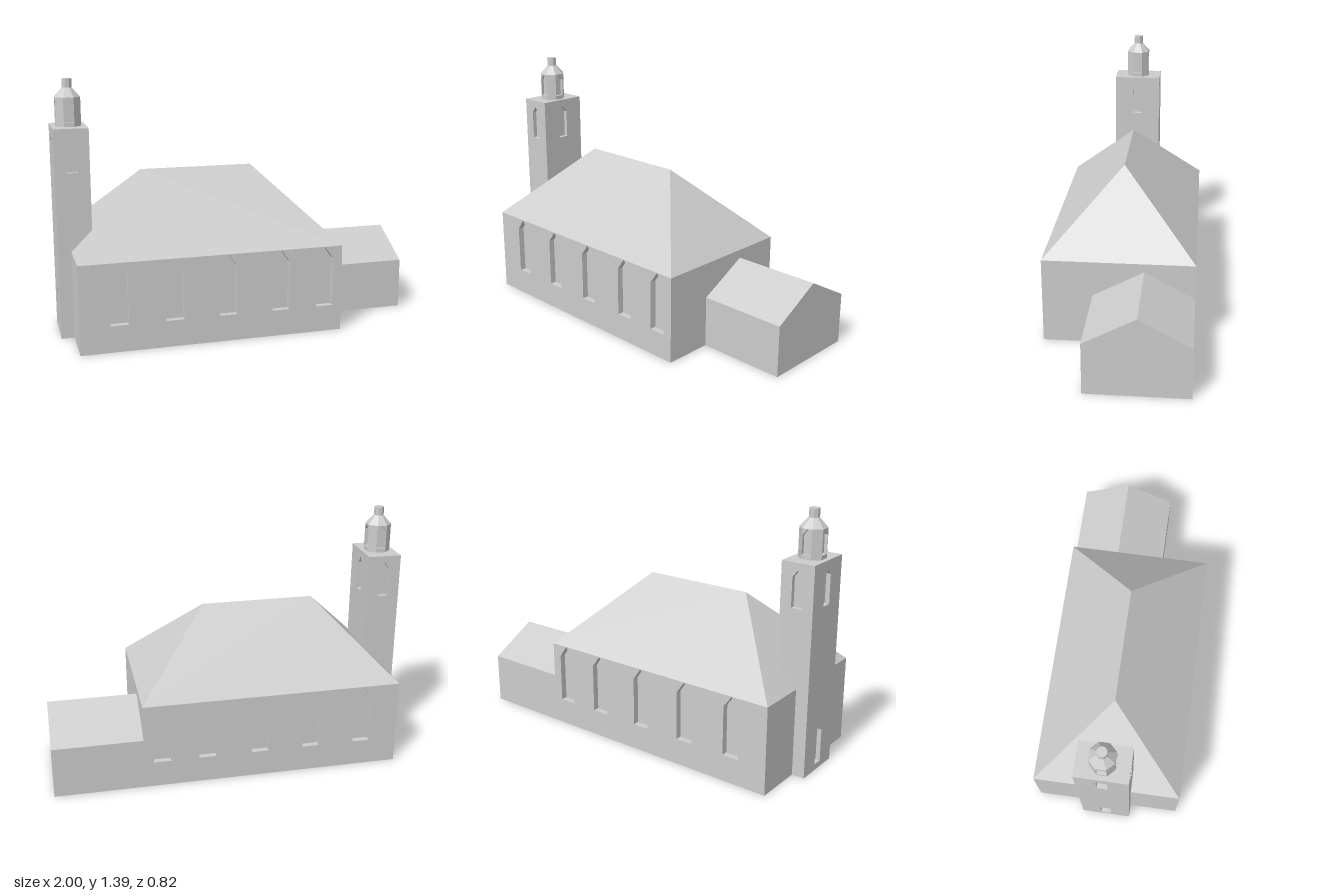
import * as THREE from 'three';
import { mergeGeometries } from 'three/addons/utils/BufferGeometryUtils.js';
import { ConvexGeometry } from 'three/addons/geometries/ConvexGeometry.js';

const stone = new THREE.MeshStandardMaterial({ color: 0xcccccc });

function add(parent, name, geometry) {
  const mesh = new THREE.Mesh(geometry, stone);
  mesh.name = name;
  parent.add(mesh);
  return mesh;
}

// Pointed-arch outline, counter-clockwise: u is the centre, w the width
function archPoints({ u, w, sill, spring, apex }) {
  return [[u - w / 2, sill], [u + w / 2, sill], [u + w / 2, spring], [u, apex], [u - w / 2, spring]]
    .map(([x, y]) => new THREE.Vector2(x, y));
}

// Flat wall facing +z with recessed pointed niches
function nicheWall(width, y0, y1, niches, depth) {
  const h = width / 2;
  const wall = new THREE.Shape([[-h, y0], [h, y0], [h, y1], [-h, y1]].map(([x, y]) => new THREE.Vector2(x, y)));
  const parts = [];
  for (const niche of niches) {
    const pts = archPoints(niche);
    wall.holes.push(new THREE.Path(pts));
    parts.push(new THREE.ShapeGeometry(new THREE.Shape(pts)).toNonIndexed().translate(0, 0, -depth));
    // Reveals around the opening, facing inwards
    const pos = [];
    pts.forEach((a, i) => {
      const b = pts[(i + 1) % pts.length];
      pos.push(a.x, a.y, 0, b.x, b.y, 0, b.x, b.y, -depth);
      pos.push(a.x, a.y, 0, b.x, b.y, -depth, a.x, a.y, -depth);
    });
    const reveal = new THREE.BufferGeometry();
    reveal.setAttribute('position', new THREE.Float32BufferAttribute(pos, 3));
    reveal.computeVertexNormals();
    parts.push(reveal);
  }
  parts.push(new THREE.ShapeGeometry(wall).toNonIndexed());
  parts.forEach((g) => g.deleteAttribute('uv'));
  return mergeGeometries(parts);
}

// Wall placed at a distance from its group's axis, turned by angle
function addWall(parent, name, { width, y0, y1, dist, angle, niches = [], depth = 0.035 }) {
  const g = nicheWall(width, y0, y1, niches, depth);
  g.translate(0, 0, dist).rotateY(angle);
  return add(parent, name, g);
}

function addSlab(parent, name, w, d, y, up) {
  return add(parent, name, new THREE.PlaneGeometry(w, d).rotateX(up ? -Math.PI / 2 : Math.PI / 2).translate(0, y, 0));
}

// Octagonal frustum with flat sides facing the axes; radii are apothems
function octagon(top, bottom, y0, y1) {
  const k = Math.cos(Math.PI / 8);
  const g = new THREE.CylinderGeometry(top / k, bottom / k, y1 - y0, 8, 1, false, Math.PI / 8).toNonIndexed();
  g.computeVertexNormals();
  return g.translate(0, (y0 + y1) / 2, 0);
}

function createHall() {
  const hall = new THREE.Group();
  hall.name = 'hall';
  const cx = -0.21, L = 1.44, D = 0.824, eave = 0.482;
  hall.position.x = cx;
  const windows = [-0.722, -0.428, -0.136, 0.159, 0.41];
  for (const side of [1, -1]) {
    addWall(hall, side > 0 ? 'frontWall' : 'backWall', {
      width: L, y0: 0, y1: eave, dist: D / 2, angle: side > 0 ? 0 : Math.PI,
      niches: windows.map((x) => ({ u: side * (x - cx), w: 0.096, sill: 0.145, spring: 0.415, apex: 0.481 })),
    });
    addWall(hall, side > 0 ? 'leftEndWall' : 'rightEndWall', {
      width: D, y0: 0, y1: eave, dist: L / 2, angle: side * Math.PI / 2,
    });
  }
  addSlab(hall, 'hallFloor', L, D, 0, false);

  // Hipped roof
  const corners = [];
  for (const x of [-1, 1]) {
    for (const z of [-1, 1]) corners.push(new THREE.Vector3(x * L / 2, eave, z * D / 2));
    corners.push(new THREE.Vector3(x * 0.315, 0.887, 0));
  }
  add(hall, 'hippedRoof', new ConvexGeometry(corners));
  return hall;
}

// Gabled side building, its profile swept along x
function createAnnex() {
  const profile = new THREE.Shape([[-0.138, 0], [0.412, 0], [0.412, 0.285], [0.138, 0.435], [-0.138, 0.285]]
    .map(([x, y]) => new THREE.Vector2(x, y)));
  const g = new THREE.ExtrudeGeometry(profile, { depth: 0.495, bevelEnabled: false });
  const annex = new THREE.Mesh(g.rotateY(Math.PI / 2).translate(0.505, 0, 0), stone);
  annex.name = 'annex';
  return annex;
}

function createTower() {
  const tower = new THREE.Group();
  tower.name = 'tower';
  tower.position.x = -0.908;
  const W = 0.184, D = 0.278, H = 1.142;
  const belfry = { u: 0, w: 0.058, sill: 0.908, spring: 1.065, apex: 1.103 };
  const door = { u: 0, w: 0.058, sill: 0.035, spring: 0.215, apex: 0.26 };
  ['Front', 'Left', 'Back', 'Right'].forEach((side, i) => {
    addWall(tower, 'tower' + side, {
      width: i % 2 ? D : W, y0: 0, y1: H, dist: (i % 2 ? W : D) / 2, angle: i * Math.PI / 2,
      niches: side === 'Right' ? [belfry, door] : [belfry], depth: 0.025,
    });
  });
  addSlab(tower, 'towerTop', W, D, H, true);
  addSlab(tower, 'towerFloor', W, D, 0, false);

  // Octagonal lantern with a niche on every second side
  const r = 0.066, facet = 2 * r * Math.tan(Math.PI / 8);
  const opening = { u: 0, w: 0.05, sill: 1.165, spring: 1.262, apex: 1.294 };
  for (let i = 0; i < 8; i++) {
    addWall(tower, 'lanternSide', {
      width: facet, y0: H, y1: 1.296, dist: r, angle: i * Math.PI / 4,
      niches: i % 2 ? [] : [opening], depth: 0.018,
    });
  }
  add(tower, 'lanternRoof', octagon(0.025, r, 1.296, 1.345));
  add(tower, 'finial', octagon(0.025, 0.025, 1.345, 1.392));
  return tower;
}

export function createModel() {
  const model = new THREE.Group();
  model.name = 'church';
  model.add(createHall(), createAnnex(), createTower());
  return model;
}
